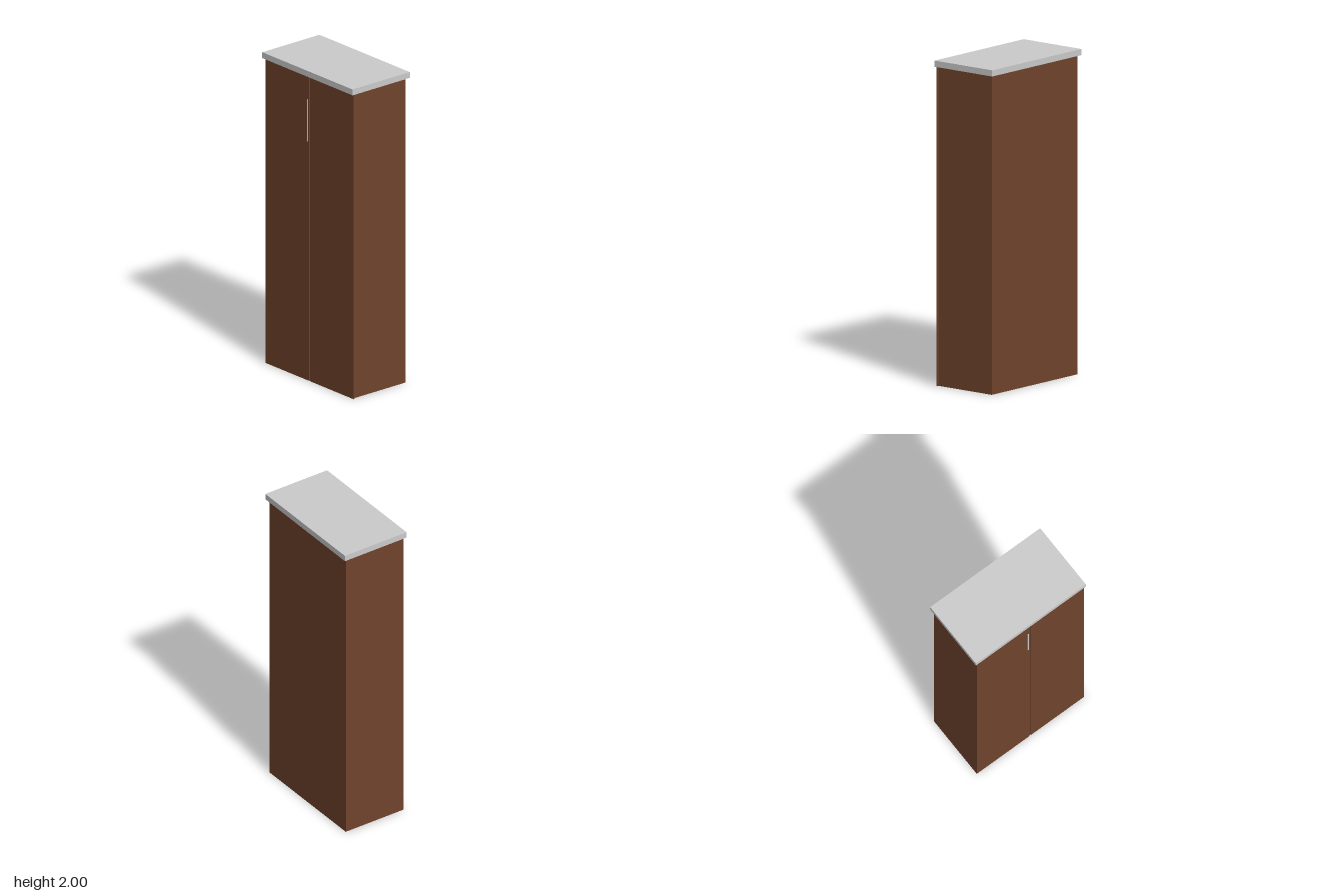
import * as THREE from 'three';

export function createModel() {
  const group = new THREE.Group();
  const wood = new THREE.MeshStandardMaterial({ color: 0x70442d });
  const grey = new THREE.MeshStandardMaterial({ color: 0xcccccc });

  // Box given by its minimum and maximum corners
  const addBox = (name, material, min, max) => {
    const size = max.map((v, i) => v - min[i]);
    const mesh = new THREE.Mesh(new THREE.BoxGeometry(...size), material);
    mesh.position.set(...max.map((v, i) => (v + min[i]) / 2));
    mesh.name = name;
    group.add(mesh);
  };

  // Tall cabinet body and overhanging top slab
  addBox('carcass', wood, [-0.209, 0, -0.4], [0.209, 1.962, 0.4]);
  addBox('topSlab', grey, [-0.227, 1.962, -0.417], [0.227, 2, 0.417]);

  // Pair of thin doors on the -x side with a narrow gap between them
  addBox('backDoor', wood, [-0.214, 0, -0.4], [-0.209, 1.962, 0.001]);
  addBox('frontDoor', wood, [-0.214, 0, 0.011], [-0.209, 1.962, 0.412]);

  // Slim vertical pull beside the gap
  addBox('handle', grey, [-0.218, 1.54, -0.016], [-0.214, 1.81, -0.008]);

  return group;
}
